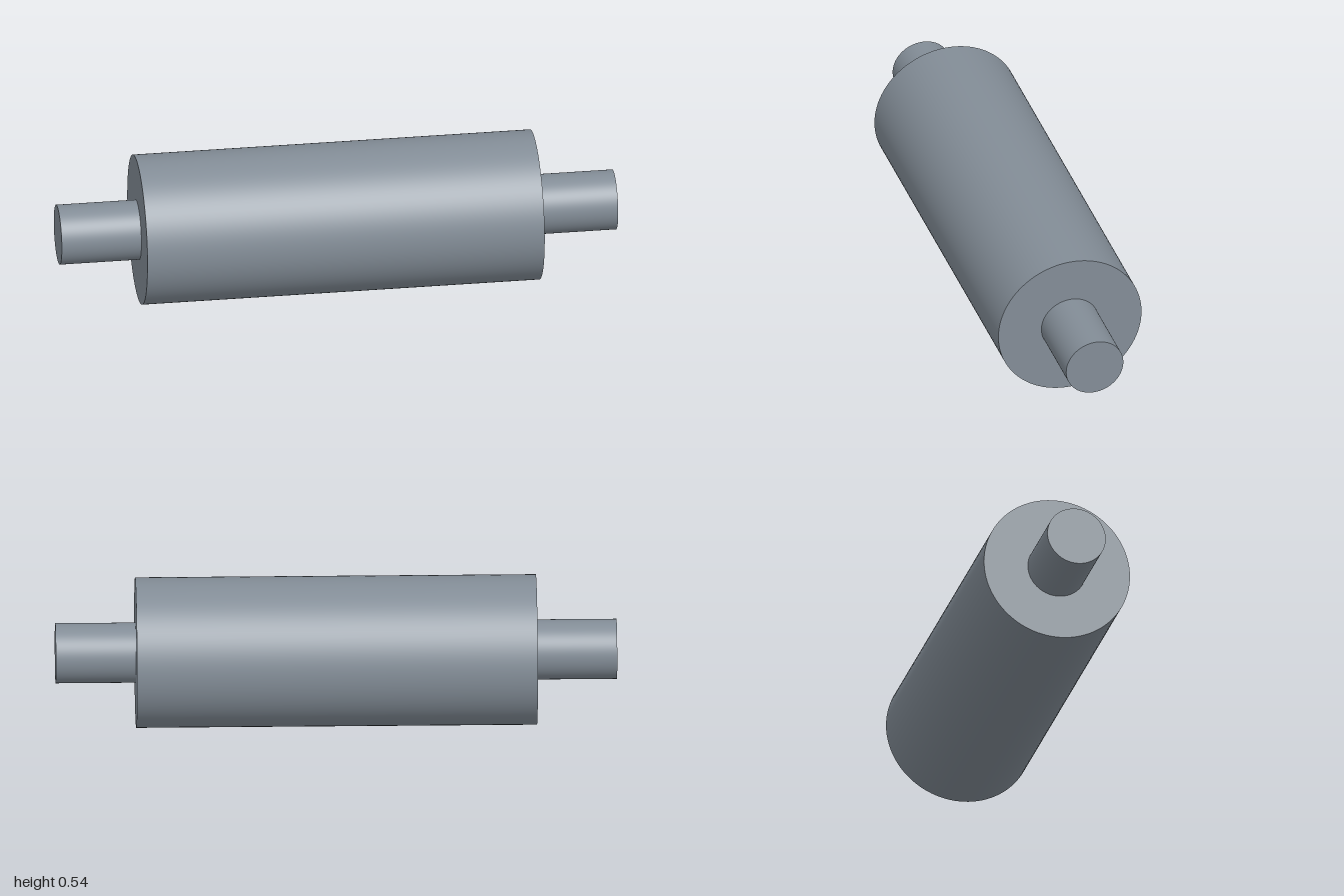
import * as THREE from 'three';

const BODY_RADIUS = 0.268;
const BODY_HALF = 0.714;
const SHAFT_RADIUS = 0.107;
const SHAFT_LENGTH = 1 - BODY_HALF;

export function createModel() {
  const model = new THREE.Group();
  model.name = 'roller';
  // Blue-grey steel
  const material = new THREE.MeshStandardMaterial({ color: 0x838d97 });

  // Closed cylinder lying along x, centred at the given x
  function addCylinder(name, radius, length, x) {
    const geometry = new THREE.CylinderGeometry(radius, radius, length, 96);
    geometry.rotateZ(-Math.PI / 2);
    const mesh = new THREE.Mesh(geometry, material);
    mesh.name = name;
    mesh.position.set(x, BODY_RADIUS, 0);
    model.add(mesh);
  }

  // Wide roller body
  addCylinder('rollerBody', BODY_RADIUS, 2 * BODY_HALF, 0);

  // Narrow shaft at each end
  for (const [name, side] of [['leftShaft', 1], ['rightShaft', -1]]) {
    addCylinder(name, SHAFT_RADIUS, SHAFT_LENGTH, side * (BODY_HALF + SHAFT_LENGTH / 2));
  }

  return model;
}
